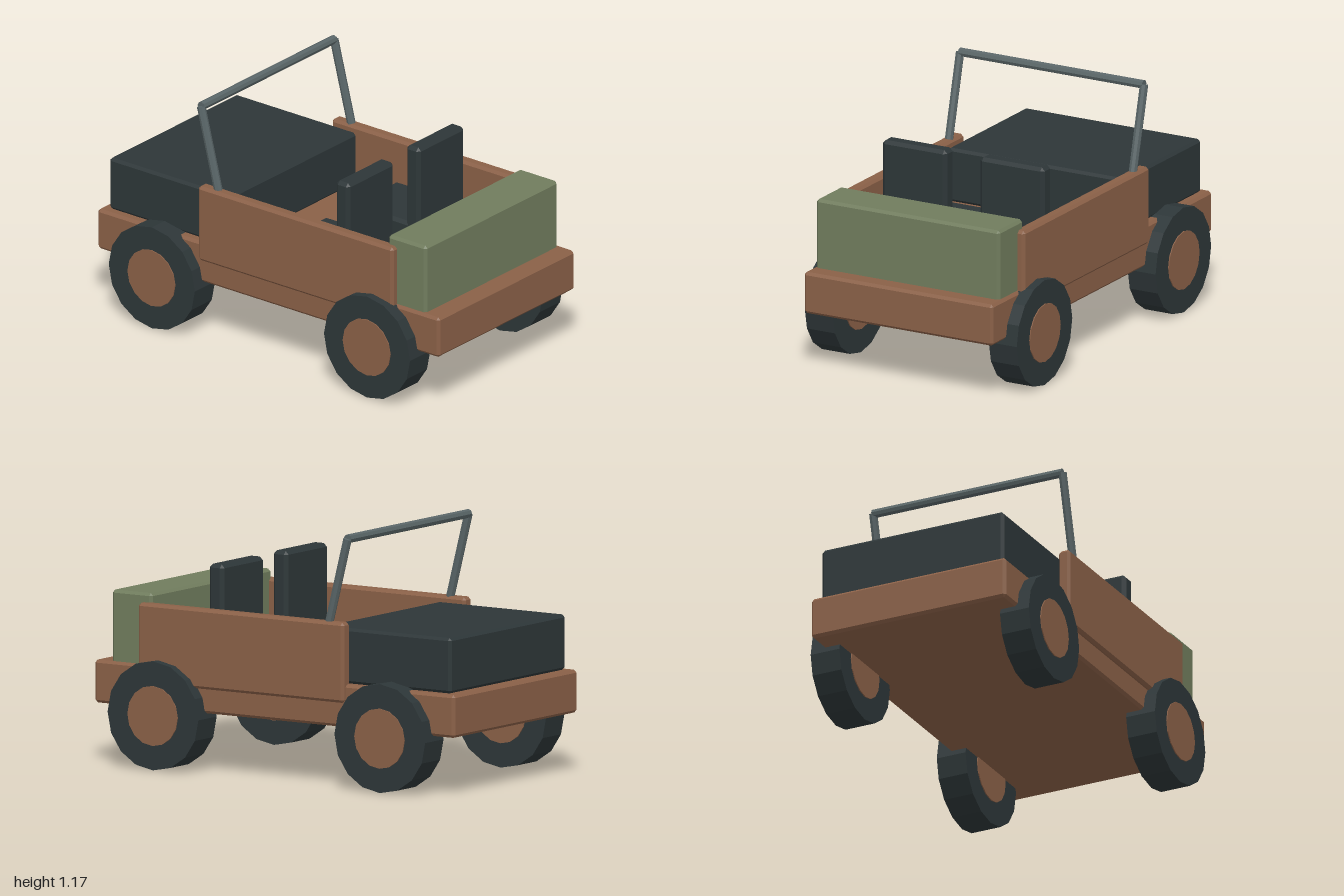
import * as THREE from 'three';
import { ConvexGeometry } from 'three/addons/geometries/ConvexGeometry.js';

const material = (name, color) => {
  const m = new THREE.MeshStandardMaterial({ color });
  m.name = name;
  return m;
};

// Box between two corners, with all edges chamfered
function chamferBox([x0, y0, z0], [x1, y1, z1], bevel = 0.013) {
  const half = [(x1 - x0) / 2, (y1 - y0) / 2, (z1 - z0) / 2];
  const points = [];
  for (const sx of [-1, 1]) for (const sy of [-1, 1]) for (const sz of [-1, 1]) {
    for (let axis = 0; axis < 3; axis++) {
      const p = half.map((h, i) => (i === axis ? h : h - bevel));
      points.push(new THREE.Vector3(p[0] * sx, p[1] * sy, p[2] * sz));
    }
  }
  return new ConvexGeometry(points).translate((x0 + x1) / 2, (y0 + y1) / 2, (z0 + z1) / 2);
}

// Straight faceted bar between two points
function bar(a, b, radius) {
  const from = new THREE.Vector3(...a), to = new THREE.Vector3(...b);
  const dir = to.clone().sub(from);
  const g = new THREE.CylinderGeometry(radius, radius, dir.length(), 8);
  g.applyQuaternion(new THREE.Quaternion().setFromUnitVectors(new THREE.Vector3(0, 1, 0), dir.normalize()));
  const mid = from.add(to).multiplyScalar(0.5);
  return g.translate(mid.x, mid.y, mid.z).toNonIndexed();
}

// Wheel disc with its axle along x
function disc(radius, width) {
  const g = new THREE.CylinderGeometry(radius, radius, width, 16).rotateZ(Math.PI / 2).toNonIndexed();
  g.computeVertexNormals();
  return g;
}

export function createModel() {
  const brown = material('brown paint', 0x8a6047);
  const dark = material('dark rubber', 0x2d3638);
  const green = material('olive paint', 0x707c5d);
  const steel = material('grey steel', 0x596567);

  const model = new THREE.Group();
  model.name = 'openCar';
  const add = (name, geometry, mat, parent = model) => {
    const mesh = new THREE.Mesh(geometry, mat);
    mesh.name = name;
    parent.add(mesh);
    return mesh;
  };

  // Body
  add('chassis', chamferBox([-0.5, 0.276, -1], [0.5, 0.474, 1]), brown);
  add('frontBox', chamferBox([-0.485, 0.46, 0.69], [0.485, 0.803, 0.913]), green);
  add('rearBox', chamferBox([-0.467, 0.474, -0.957], [0.467, 0.73, -0.25]), dark);

  for (const [side, s] of [['left', 1], ['right', -1]]) {
    // Side walls
    const [xa, xb] = [0.46 * s, 0.52 * s].sort((a, b) => a - b);
    add(side + 'Wall', chamferBox([xa, 0.39, -0.397], [xb, 0.76, 0.745]), brown);

    // Seats
    const seat = new THREE.Group();
    seat.name = side + 'Seat';
    const [sa, sb] = [0.088 * s, 0.428 * s].sort((a, b) => a - b);
    add('cushion', chamferBox([sa, 0.465, 0.01], [sb, 0.575, 0.41], 0.016), dark, seat);
    add('backrest', chamferBox([sa, 0.5, 0.335], [sb, 0.957, 0.415], 0.016), dark, seat);
    model.add(seat);

    // Wheels
    for (const [end, z] of [['Front', 0.63], ['Rear', -0.63]]) {
      const wheel = new THREE.Group();
      wheel.name = side + end + 'Wheel';
      wheel.position.set(0.487 * s, 0.252, z);
      add('tire', disc(0.252, 0.148), dark, wheel);
      add('hub', disc(0.139, 0.158), brown, wheel);
      model.add(wheel);
    }

    // Sloping post of the frame
    const post = bar([0.487 * s, 0.7, -0.285], [0.487 * s, 1.147, -0.4], 0.02);
    post.computeVertexNormals();
    add(side + 'Post', post, steel);
  }

  // Top bar of the frame
  const top = bar([-0.487, 1.147, -0.4], [0.487, 1.147, -0.4], 0.021);
  top.computeVertexNormals();
  add('topBar', top, steel);

  return model;
}
